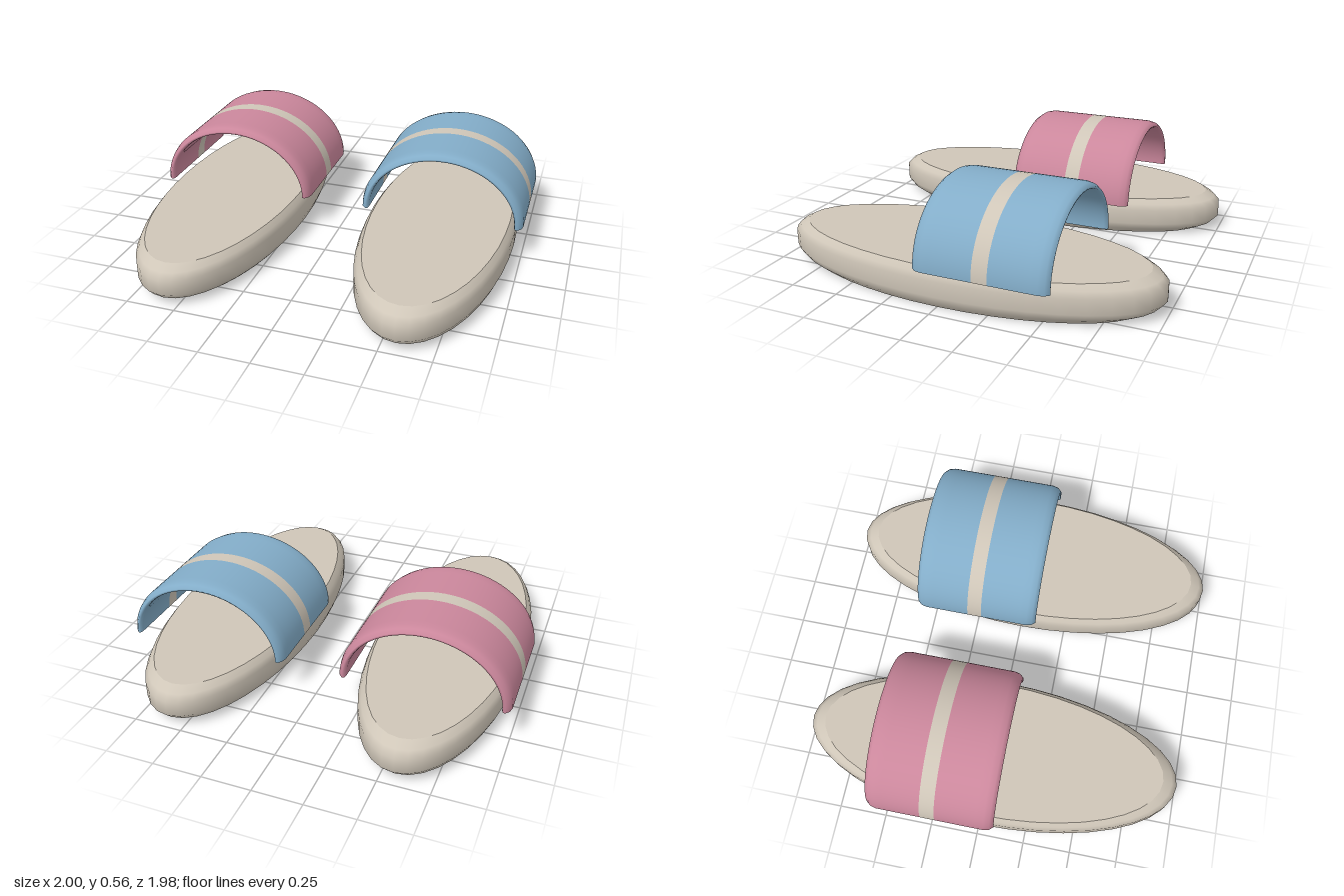
import * as THREE from 'three';

const SOLE_TOP = 0.2;
const BACK = -0.578, FRONT = 0.09;           // strap ends along z
const STRIPE_BACK = -0.292, STRIPE_FRONT = -0.215;
const INNER = 0.9;                           // inner radius of the unit strap arch

const pts = (list) => list.map(([a, b]) => new THREE.Vector2(a, b));

// Rounded strap rim, from outside to inside; dir is +1 at the front, -1 at the back
const rim = (z, dir) => [
  [1, z - dir * 0.09], [1, z - dir * 0.05], [0.982, z - dir * 0.02], [0.94, z],
  [0.91, z - dir * 0.004], [INNER, z - dir * 0.02], [INNER, z - dir * 0.06],
];

// Sweeps a (radius, z) profile over a half-ellipse arch
function arch(profile) {
  const g = new THREE.LatheGeometry(pts(profile), 40, Math.PI / 2, Math.PI);
  g.rotateX(Math.PI / 2);
  g.scale(0.427, 0.355, 1);
  return g;
}

// Flat underside of one strap foot
function foot(profile, side) {
  const g = new THREE.ShapeGeometry(new THREE.Shape(pts(profile.map(([r, z]) => [side * r, z]))));
  g.rotateX(Math.PI / 2);
  g.scale(0.427, 1, 1);
  return g;
}

function add(group, name, geometry, material) {
  const mesh = new THREE.Mesh(geometry, material);
  mesh.name = name;
  group.add(mesh);
}

// Oval sole with chamfered rims and flat faces
function makeSole(material) {
  const sole = new THREE.Group();
  sole.name = 'sole';
  const parts = {
    soleBottom: [[0, 0], [0.9, 0]],
    soleSide: [[0.9, 0], [0.965, 0.03], [1, 0.066], [1, 0.144], [0.97, 0.174], [0.92, SOLE_TOP]],
    soleTop: [[0.92, SOLE_TOP], [0, SOLE_TOP]],
  };
  for (const [name, profile] of Object.entries(parts)) {
    const g = new THREE.LatheGeometry(pts(profile), 40);
    g.scale(0.386, 1, 0.99);
    add(sole, name, g, material);
  }
  return sole;
}

// Arched strap with a stripe running through it
function makeStrap(color, stripeColor) {
  const strap = new THREE.Group();
  strap.name = 'strap';
  strap.position.y = SOLE_TOP;
  const front = [[1, STRIPE_FRONT], ...rim(FRONT, 1), [INNER, STRIPE_FRONT]];
  const back = [[INNER, STRIPE_BACK], ...rim(BACK, -1).reverse(), [1, STRIPE_BACK]];
  const outer = [[1, STRIPE_BACK], [1, STRIPE_FRONT]];
  const inner = [[INNER, STRIPE_FRONT], [INNER, STRIPE_BACK]];
  add(strap, 'strapFront', arch(front), color);
  add(strap, 'strapBack', arch(back), color);
  add(strap, 'stripeOutside', arch(outer), stripeColor);
  add(strap, 'stripeInside', arch(inner), stripeColor);
  for (const side of [1, -1]) {
    add(strap, 'strapFrontFoot', foot(front, side), color);
    add(strap, 'strapBackFoot', foot(back, side), color);
    add(strap, 'stripeFoot', foot([...outer, ...inner], side), stripeColor);
  }
  return strap;
}

export function createModel() {
  const material = (name, color) => {
    const m = new THREE.MeshStandardMaterial({ color });
    m.name = name;
    return m;
  };
  const beige = material('beige', 0xcfc6b8);
  const pink = material('pink', 0xcb879c);
  const blue = material('blue', 0x83adc9);

  const model = new THREE.Group();
  model.name = 'slippers';
  for (const [name, x, color] of [['rightSlipper', -0.573, pink], ['leftSlipper', 0.573, blue]]) {
    const slipper = new THREE.Group();
    slipper.name = name;
    slipper.position.x = x;
    slipper.add(makeSole(beige), makeStrap(color, beige));
    model.add(slipper);
  }
  return model;
}
